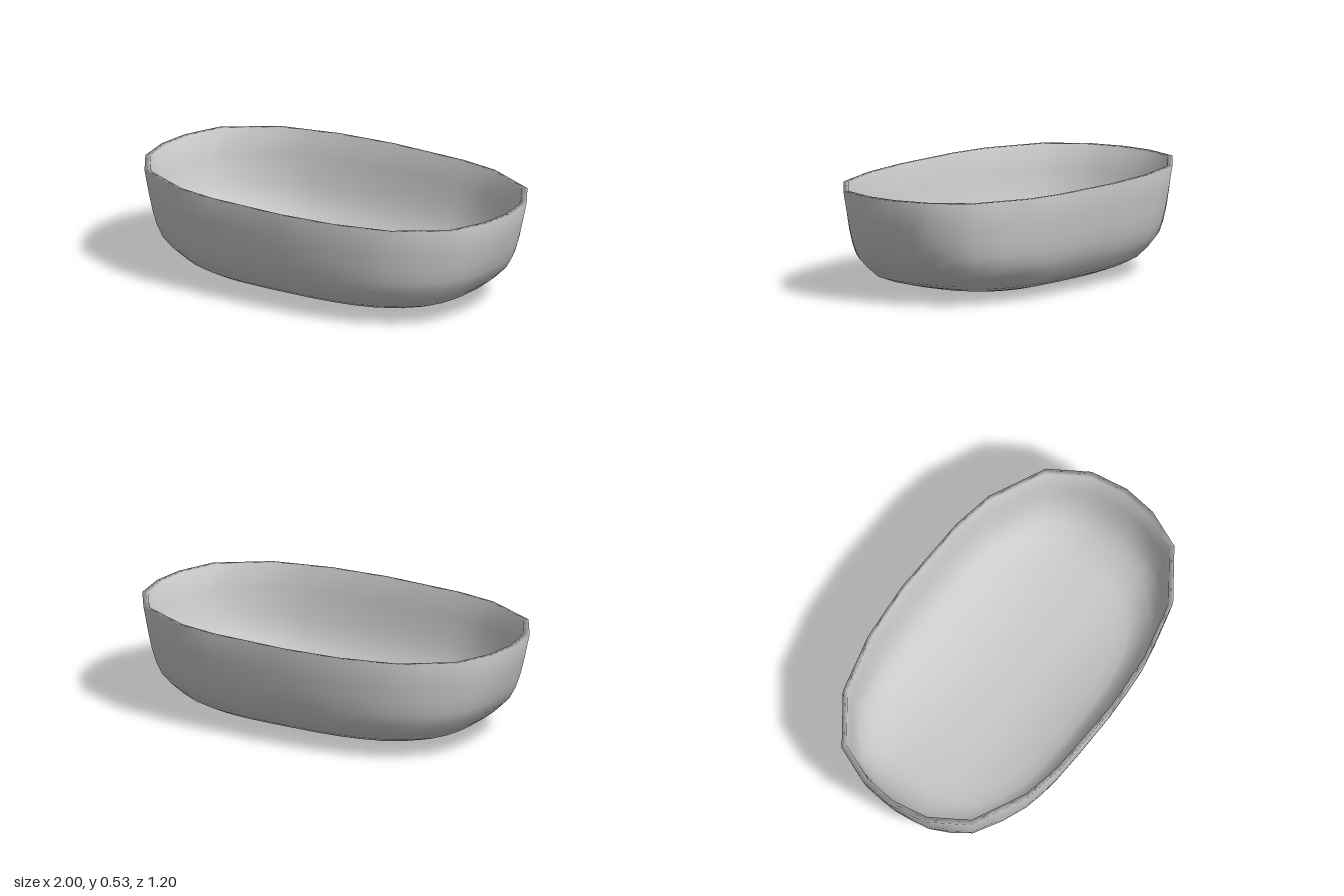
import * as THREE from 'three';

// Half of the rim outline as [x, z]; the other half is the same turned 180 degrees
const HALF_RIM = [
  [1, -0.02], [0.98, 0.15], [0.9, 0.34], [0.66, 0.51], [0.36, 0.58],
  [0.06, 0.6], [-0.36, 0.58], [-0.57, 0.54], [-0.85, 0.4], [-0.97, 0.21],
];
const RIM = [...HALF_RIM, ...HALF_RIM.map(([x, z]) => [-x, -z])]
  .map(([x, z]) => new THREE.Vector3(x, 0, z));
const RIM_CURVE = new THREE.CatmullRomCurve3(RIM, true);
const SIDES = RIM.length * 2;

// Wall profile from floor to rim as [share of rim size, height]
const PROFILE = [
  [0.2, 0.001], [0.4, 0.012], [0.6, 0.043], [0.7, 0.067], [0.765, 0.09],
  [0.83, 0.14], [0.88, 0.19], [0.917, 0.25], [0.945, 0.32], [0.968, 0.4], [1, 0.53],
];
const HEIGHT = 0.53;
const THICKNESS = 0.03; // wall at the rim, as a share of the rim size
const FLOOR = 0.006;    // floor thickness

// Horizontal section: straight-sided at the rim, rounder and fuller at the corners below
function section(share, size, y) {
  const round = Math.min(1, (1 - share) * 8);
  return Array.from({ length: SIDES }, (_, i) => {
    const a = RIM[Math.floor(i / 2)];
    const b = RIM[Math.ceil(i / 2) % RIM.length];
    const p = a.clone().lerp(b, 0.5).lerp(RIM_CURVE.getPoint(i / SIDES), round);
    const fullness = 1 + (round * 0.05 * Math.abs(p.x * p.z)) / 0.6;
    return p.multiplyScalar(size * fullness).setY(y);
  });
}

// Closed skin through the sections, with a centre point at either end
function loft(sections, start, end) {
  const points = [...sections.flat(), start, end];
  const last = (sections.length - 1) * SIDES;
  const index = [];
  for (let i = 0; i < SIDES; i++) {
    const j = (i + 1) % SIDES;
    index.push(points.length - 2, i, j);
    for (let a = 0; a < last; a += SIDES) {
      const b = a + SIDES;
      index.push(a + i, b + i, a + j, a + j, b + i, b + j);
    }
    index.push(points.length - 1, last + j, last + i);
  }
  const geometry = new THREE.BufferGeometry().setFromPoints(points);
  geometry.setIndex(index);
  geometry.computeVertexNormals();
  return geometry;
}

export function createModel() {
  const group = new THREE.Group();
  group.name = 'basin';

  // Up the outside, over the thin rim and down the inside
  const outside = PROFILE.map(([s, y]) => section(s, s, y));
  const inside = PROFILE.map(([s, y]) =>
    section(s, s * (1 - THICKNESS * s), FLOOR + (y * (HEIGHT - FLOOR)) / HEIGHT)).reverse();
  const geometry = loft(
    [...outside, ...inside],
    new THREE.Vector3(0, 0, 0),
    new THREE.Vector3(0, FLOOR, 0),
  );

  const shell = new THREE.Mesh(geometry, new THREE.MeshStandardMaterial({ color: 0xcccccc }));
  shell.name = 'basinShell';
  group.add(shell);
  return group;
}
